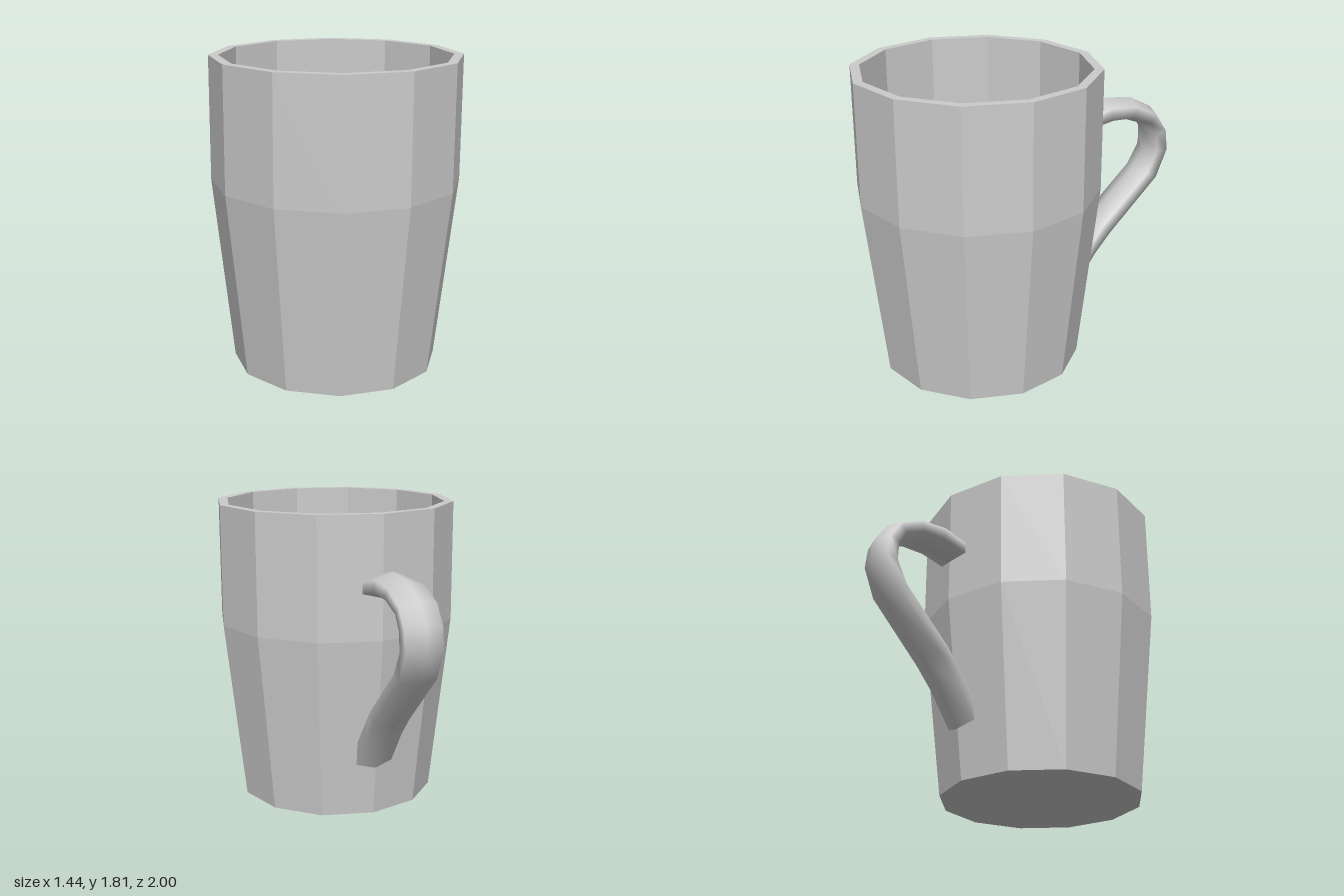
import * as THREE from 'three';

const CUP_Z = 0.275;

// Twelve-sided hollow cup: base, outer wall, rim, inner wall, floor
function createCup() {
  const profile = [
    [0, 0], [0.6, 0], [0.72, 1.09], [0.72, 1.81],
    [0.665, 1.81], [0.665, 1.09], [0.56, 0.09], [0, 0.09],
  ].map(([r, y]) => new THREE.Vector2(r, y));
  const material = new THREE.MeshStandardMaterial({ color: 0xcccccc, flatShading: true });
  const cup = new THREE.Mesh(new THREE.LatheGeometry(profile, 12), material);
  cup.name = 'cup';
  cup.position.z = CUP_Z;
  return cup;
}

// Handle lofted through flattened hexagonal rings, each set by its
// outer and inner edge in the z-y plane
function createHandle() {
  const halfWidth = 0.113;
  const rings = [
    // outer z, y, inner z, y
    [-0.33, 1.44, -0.34, 1.31],
    [-0.45, 1.475, -0.43, 1.335],
    [-0.56, 1.51, -0.57, 1.36],
    [-0.75, 1.49, -0.70, 1.36],
    [-0.90, 1.41, -0.82, 1.315],
    [-0.98, 1.29, -0.86, 1.24],
    [-1.0, 1.16, -0.86, 1.13],
    [-0.93, 0.965, -0.79, 1.02],
    [-0.60, 0.63, -0.50, 0.74],
    [-0.49, 0.51, -0.405, 0.60],
    [-0.34, 0.27, -0.20, 0.33],
  ];
  const sides = 6;
  const positions = [];
  const index = [];
  const addRing = ([oz, oy, iz, iy]) => {
    for (let s = 0; s < sides; s++) {
      const a = (s / sides) * Math.PI * 2;
      const t = (1 - Math.cos(a)) / 2;
      const x = (halfWidth * Math.sin(a)) / Math.sin(Math.PI / 3);
      positions.push(x, oy + (iy - oy) * t, oz + (iz - oz) * t);
    }
  };
  rings.forEach(addRing);
  for (let r = 0; r < rings.length - 1; r++) {
    for (let s = 0; s < sides; s++) {
      const a = r * sides + s;
      const b = r * sides + ((s + 1) % sides);
      index.push(a, b, a + sides, b, b + sides, a + sides);
    }
  }
  // End caps on their own vertices, so their edges stay sharp
  [rings[0], rings[rings.length - 1]].forEach((ring, end) => {
    const base = positions.length / 3;
    addRing(ring);
    for (let s = 1; s < sides - 1; s++) {
      if (end === 0) index.push(base, base + s + 1, base + s);
      else index.push(base, base + s, base + s + 1);
    }
  });
  const geometry = new THREE.BufferGeometry();
  geometry.setAttribute('position', new THREE.Float32BufferAttribute(positions, 3));
  geometry.setIndex(orientOutward(index, positions));
  geometry.computeVertexNormals();
  const handle = new THREE.Mesh(geometry, new THREE.MeshStandardMaterial({ color: 0xcccccc }));
  handle.name = 'handle';
  return handle;
}

// Flip the winding if the closed surface has negative volume
function orientOutward(index, positions) {
  const corner = (i) => new THREE.Vector3().fromArray(positions, i * 3);
  let volume = 0;
  for (let i = 0; i < index.length; i += 3) {
    const [a, b, c] = [0, 1, 2].map((k) => corner(index[i + k]));
    volume += a.dot(b.cross(c));
  }
  return volume < 0 ? index.reverse() : index;
}

export function createModel() {
  const mug = new THREE.Group();
  mug.name = 'mug';
  mug.add(createCup(), createHandle());
  return mug;
}
